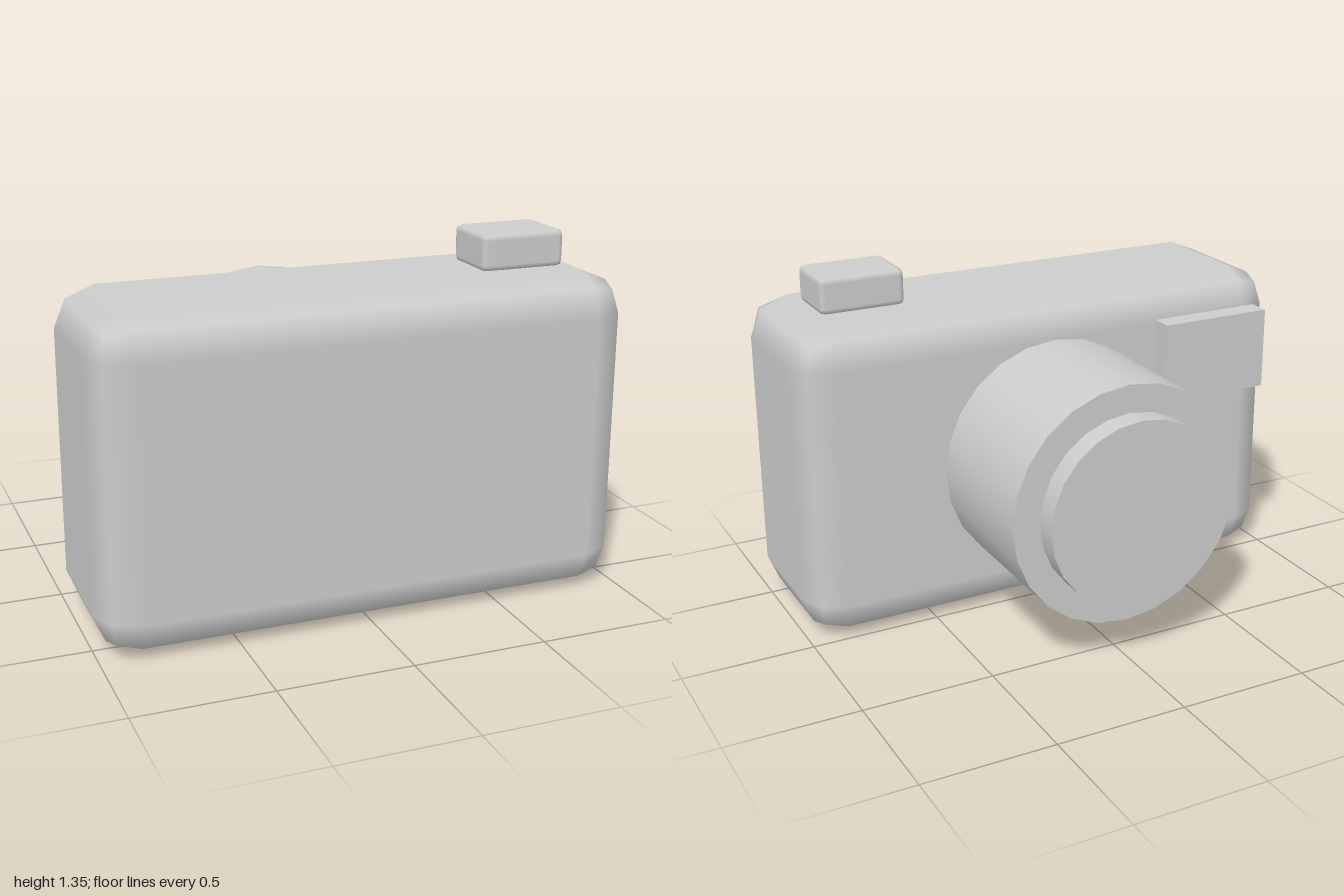
import * as THREE from 'three';
import { RoundedBoxGeometry } from 'three/addons/geometries/RoundedBoxGeometry.js';

export function createModel() {
  const model = new THREE.Group();
  model.name = 'camera';

  const grey = new THREE.MeshStandardMaterial({ color: 0xcccccc });
  grey.name = 'light grey';

  const add = (name, geometry, x, y, z) => {
    const mesh = new THREE.Mesh(geometry, grey);
    mesh.name = name;
    mesh.position.set(x, y, z);
    model.add(mesh);
  };

  // Cylinder lying along z, between two depths
  const barrel = (name, radius, zBack, zFront) => {
    const geometry = new THREE.CylinderGeometry(radius, radius, zFront - zBack, 24);
    geometry.rotateX(Math.PI / 2);
    add(name, geometry, 0, 0.605, (zBack + zFront) / 2);
  };

  // Case with broad two-step rounded edges
  add('body', new RoundedBoxGeometry(2, 1.21, 0.705, 1, 0.147), 0, 0.605, 0.3225);

  // Lens: wide barrel and narrower end ring
  barrel('lensBarrel', 0.457, -0.59, 0);
  barrel('lensRing', 0.352, -0.675, -0.55);

  // Shutter button on top
  add('shutterButton', new RoundedBoxGeometry(0.33, 0.14, 0.245, 1, 0.024), 0.665, 1.275, 0.3225);

  // Flash plate beside the lens, standing just off the case
  add('flash', new THREE.BoxGeometry(0.45, 0.315, 0.085), -0.65, 0.928, -0.0975);

  return model;
}
